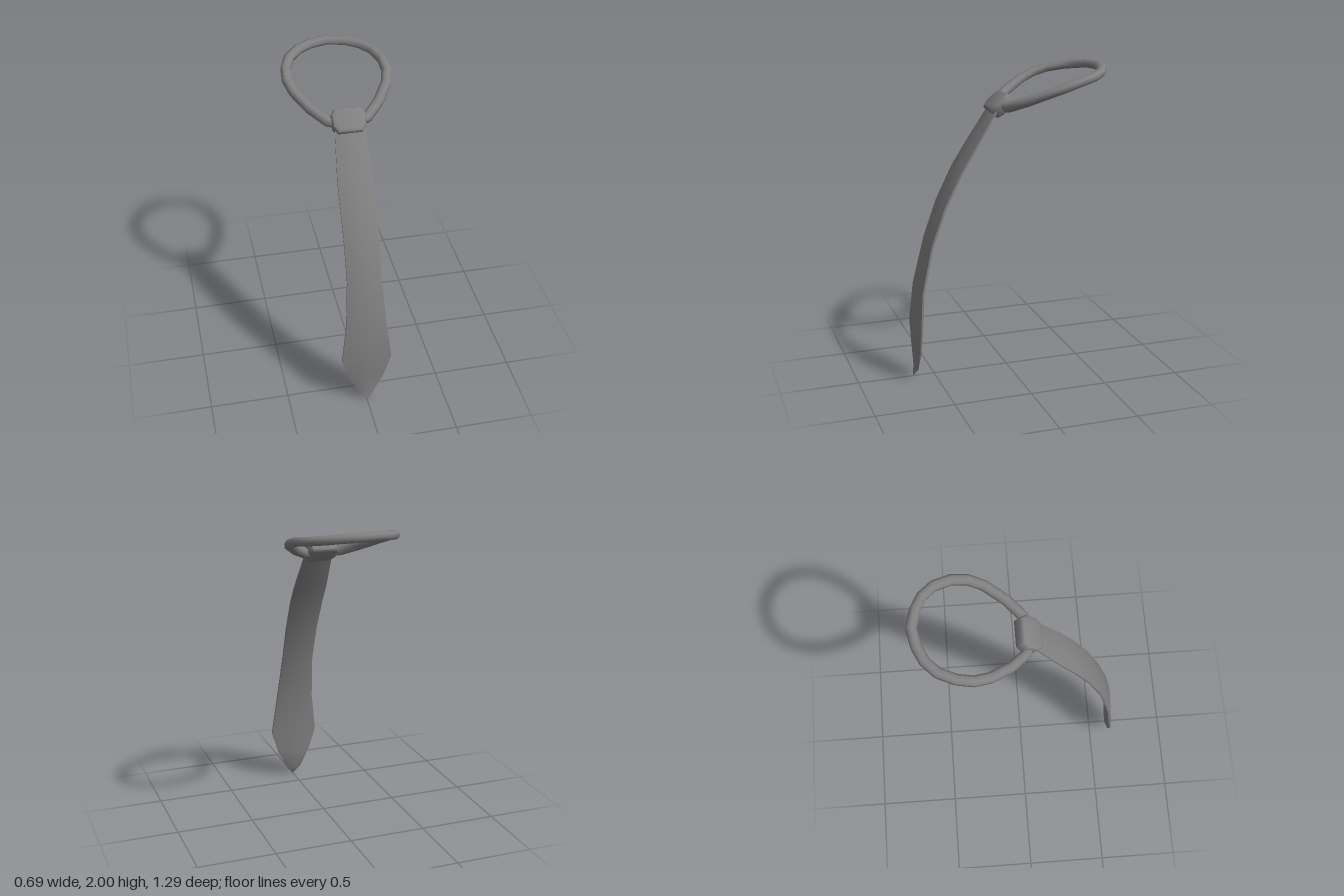
import * as THREE from 'three';
import { toCreasedNormals } from 'three/addons/utils/BufferGeometryUtils.js';

const material = new THREE.MeshStandardMaterial({ color: 0x808080 });

// Sweeps a cross-section of [across, out] pairs along a path of centres
function loft(path, section, hint, closed) {
  const n = path.length;
  const positions = [];
  const index = [];
  let m = 0;
  path.forEach((p, i) => {
    const before = path[closed ? (i + n - 1) % n : Math.max(i - 1, 0)];
    const after = path[closed ? (i + 1) % n : Math.min(i + 1, n - 1)];
    const tangent = after.clone().sub(before).normalize();
    const side = tangent.clone().cross(hint).normalize();
    const out = side.clone().cross(tangent);
    const points = section(i);
    m = points.length;
    for (const [a, b] of points) {
      const v = p.clone().addScaledVector(side, a).addScaledVector(out, b);
      positions.push(v.x, v.y, v.z);
    }
  });
  for (let i = 0; i < (closed ? n : n - 1); i++) {
    for (let j = 0; j < m; j++) {
      const a = i * m + j, b = i * m + (j + 1) % m;
      const c = ((i + 1) % n) * m + j, d = ((i + 1) % n) * m + (j + 1) % m;
      index.push(a, c, b, b, c, d);
    }
  }
  const geometry = new THREE.BufferGeometry();
  geometry.setAttribute('position', new THREE.Float32BufferAttribute(positions, 3));
  geometry.setIndex(index);
  geometry.computeVertexNormals();
  return geometry;
}

function addMesh(group, name, geometry) {
  const mesh = new THREE.Mesh(geometry, material);
  mesh.name = name;
  group.add(mesh);
}

export function createModel() {
  const group = new THREE.Group();
  group.name = 'necktie';

  // Blade: [y, z, half width, half thickness] from knot to tip
  const blade = [
    [1.76, 0.07, 0.085, 0.014], [1.70, 0.11, 0.095, 0.016],
    [1.48, 0.25, 0.111, 0.019], [1.36, 0.325, 0.112, 0.021],
    [1.15, 0.43, 0.109, 0.022], [0.90, 0.52, 0.108, 0.023],
    [0.60, 0.59, 0.128, 0.022], [0.34, 0.614, 0.16, 0.018],
    [0.19, 0.616, 0.114, 0.016], [0.06, 0.62, 0.05, 0.012],
    [0, 0.643, 0, 0],
  ];
  const lens = [[1, -0.3], [1, 0.3], [0.6, 0.8], [0, 1], [-0.6, 0.8],
    [-1, 0.3], [-1, -0.3], [-0.6, -0.8], [0, -1], [0.6, -0.8]];
  addMesh(group, 'blade', toCreasedNormals(loft(
    blade.map(([y, z]) => new THREE.Vector3(0, y, z)),
    (i) => lens.map(([a, b]) => [a * blade[i][2], b * blade[i][3]]),
    new THREE.Vector3(0, 0, 1), false), 0.9));

  // Neck loop: left half from back to knot, then mirrored; thicker at the knot
  const half = [
    [0.115, 1.968, -0.592], [0.2, 1.957, -0.55], [0.268, 1.943, -0.48],
    [0.307, 1.924, -0.38], [0.314, 1.896, -0.285], [0.287, 1.86, -0.19],
    [0.212, 1.806, -0.07], [0.12, 1.76, 0.025], [0.04, 1.75, 0.05],
  ].map((p) => new THREE.Vector3(...p));
  const mirrored = half.map((p) => new THREE.Vector3(-p.x, p.y, p.z)).reverse();
  const loop = [new THREE.Vector3(0, 1.972, -0.616), ...half, ...mirrored];
  const oval = Array.from({ length: 8 }, (_, k) => {
    const t = (k + 0.5) * Math.PI / 4;
    return [0.034 * Math.cos(t), 0.029 * Math.sin(t)];
  });
  addMesh(group, 'neckLoop', loft(loop, (i) => {
    const swell = 1 + 0.2 * THREE.MathUtils.smoothstep(loop[i].z, -0.2, 0.03);
    return oval.map(([a, b]) => [a, b * swell]);
  }, new THREE.Vector3(0, 0.93, 0.36), true));

  // Knot: bevelled slab with clipped corners, tilted back
  const bevel = 0.02;
  const outline = [[-0.063, -0.06], [0.063, -0.06], [0.082, -0.034], [0.086, 0.032],
    [0.07, 0.056], [-0.07, 0.056], [-0.086, 0.032], [-0.082, -0.034]];
  const knot = new THREE.ExtrudeGeometry(
    new THREE.Shape(outline.map(([x, y]) => new THREE.Vector2(x, y))),
    { depth: 0.046, bevelEnabled: true, bevelSize: bevel, bevelThickness: bevel, bevelSegments: 2 });
  knot.translate(0, 0, -0.023);
  knot.rotateX(-0.86);
  knot.translate(0, 1.762, 0.047);
  addMesh(group, 'knot', toCreasedNormals(knot, 0.8));

  return group;
}
